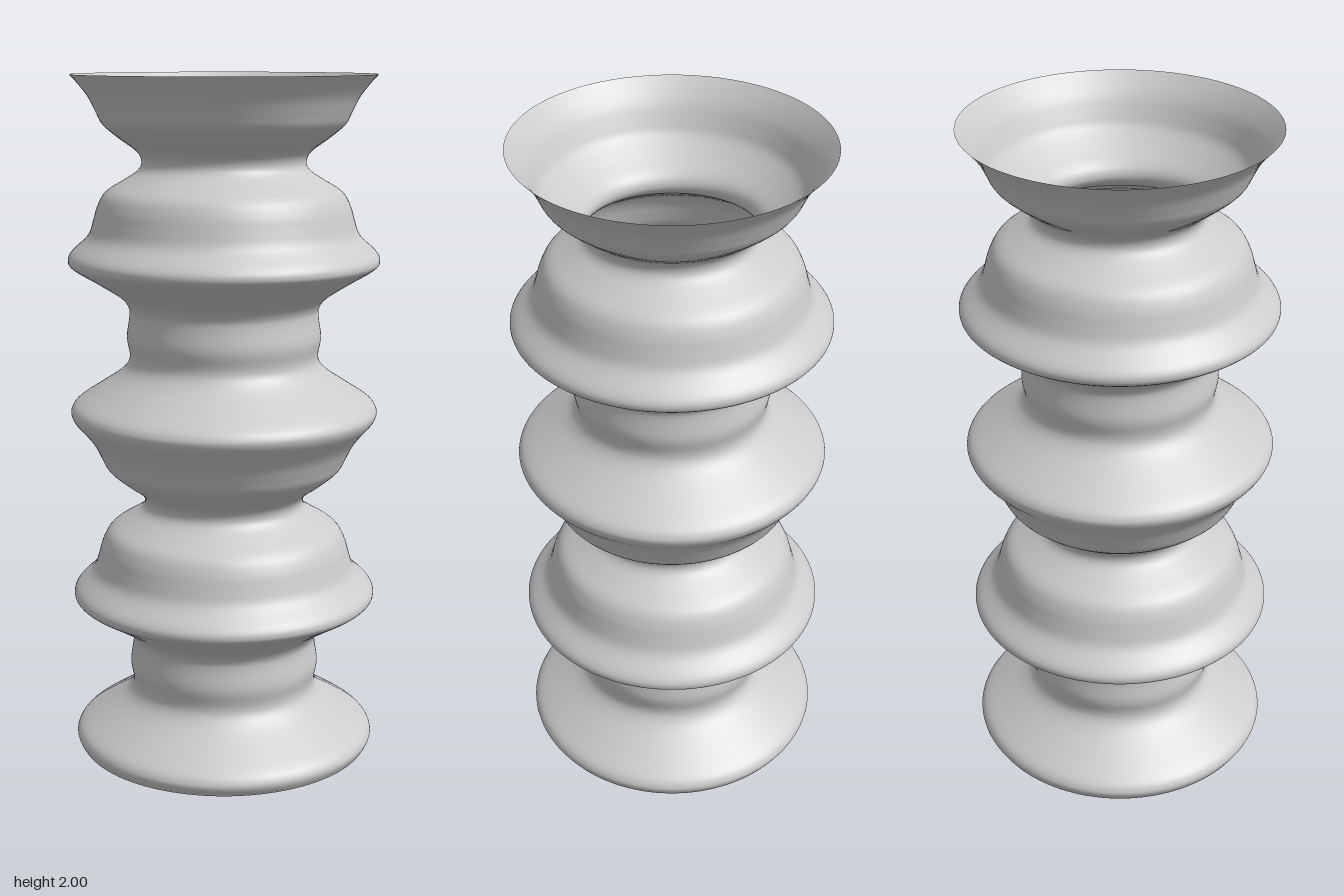
import * as THREE from 'three';

// One repeat of the outline: [radius, height], one unit tall
const REPEAT = [
  [0.437, 0], [0.449, 0.022], [0.448, 0.04], [0.43, 0.062], [0.372, 0.1], [0.312, 0.14],
  [0.283, 0.17], [0.276, 0.2], [0.284, 0.25], [0.276, 0.31], [0.279, 0.34],
  [0.305, 0.372], [0.38, 0.42], [0.438, 0.455], [0.451, 0.475], [0.44, 0.5],
  [0.393, 0.545], [0.376, 0.59], [0.364, 0.63], [0.34, 0.67], [0.285, 0.705],
  [0.248, 0.73], [0.236, 0.755], [0.25, 0.785], [0.3, 0.822], [0.345, 0.86],
  [0.364, 0.895], [0.384, 0.935], [0.41, 0.97],
];
const REPEATS = 2;

export function createModel() {
  const group = new THREE.Group();
  group.name = 'turnedColumn';

  // Stack the repeats and close with the upper rim
  const points = [];
  for (let i = 0; i < REPEATS; i++) {
    for (const [r, y] of REPEAT) points.push(new THREE.Vector2(r, y + i));
  }
  points.push(new THREE.Vector2(REPEAT[0][0], REPEATS));

  // Thin hollow shell, open at both ends
  const profile = new THREE.SplineCurve(points).getPoints((points.length - 1) * 4);
  const shell = new THREE.Mesh(
    new THREE.LatheGeometry(profile, 128),
    new THREE.MeshStandardMaterial({ color: 0xcccccc, side: THREE.DoubleSide })
  );
  shell.name = 'hollowShell';
  group.add(shell);
  return group;
}
